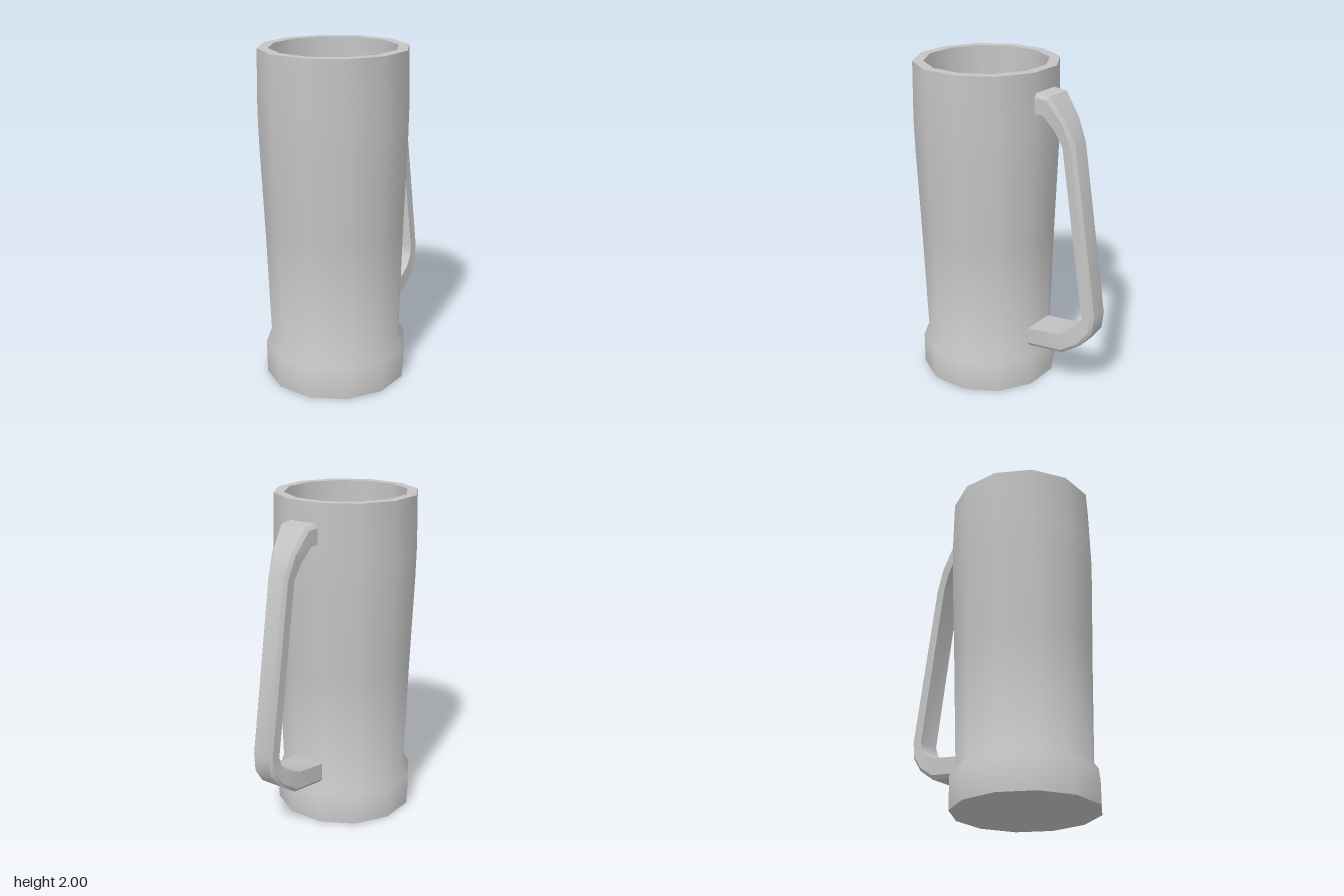
import * as THREE from 'three';
import { toCreasedNormals } from 'three/addons/utils/BufferGeometryUtils.js';

const CENTRE_X = -0.207;
const CORNER = 1 / Math.cos(Math.PI / 12); // flat-to-centre distance -> corner radius

// Twelve-sided cup: profile points are [distance to flat, height]
function cupGeometry() {
  const profile = [
    [0, 0], [0.416, 0], [0.416, 0.2], [0.383, 0.25], // base and chamfer
    [0.403, 0.95], [0.421, 1.45], [0.425, 1.65], [0.418, 2], // swelling wall
    [0.357, 2], [0.333, 0.25], [0, 0.25], // rim, inside wall, floor
  ].map(([r, y]) => new THREE.Vector2(r * CORNER, y));
  const geometry = new THREE.LatheGeometry(profile, 12, Math.PI / 12);
  return toCreasedNormals(geometry, 0.8);
}

// Handle: six-cornered cross-sections, flared where they meet the cup
function handleGeometry() {
  // outer x, y, bevel x, y, inner x, y, half width
  const stations = [
    [0.18, 1.885, 0.18, 1.862, 0.18, 1.765, 0.105],
    [0.30, 1.875, 0.29, 1.855, 0.27, 1.765, 0.102],
    [0.40, 1.745, 0.385, 1.735, 0.34, 1.68, 0.083],
    [0.46, 1.61, 0.44, 1.60, 0.385, 1.59, 0.07],
    [0.625, 0.58, 0.605, 0.575, 0.545, 0.565, 0.07],
    [0.61, 0.47, 0.593, 0.48, 0.53, 0.51, 0.075],
    [0.54, 0.375, 0.53, 0.392, 0.48, 0.46, 0.087],
    [0.425, 0.295, 0.42, 0.317, 0.395, 0.42, 0.1],
    [0.15, 0.257, 0.15, 0.28, 0.15, 0.382, 0.105],
  ];
  const positions = [];
  const index = [];
  stations.forEach(([ox, oy, bx, by, ix, iy, w], i) => {
    const o = w - 0.018;
    positions.push(ox, oy, o, bx, by, w, ix, iy, w, ix, iy, -w, bx, by, -w, ox, oy, -o);
    if (i === 0) return;
    for (let j = 0; j < 6; j++) {
      const k = (j + 1) % 6;
      const p = (i - 1) * 6, q = i * 6;
      index.push(p + j, p + k, q + k, p + j, q + k, q + j);
    }
  });
  const geometry = new THREE.BufferGeometry();
  geometry.setAttribute('position', new THREE.Float32BufferAttribute(positions, 3));
  geometry.setIndex(index);
  return toCreasedNormals(geometry, 0.6);
}

export function createModel() {
  const grey = new THREE.MeshStandardMaterial({ color: 0xc4c4c4 });
  grey.name = 'grey';

  const cup = new THREE.Mesh(cupGeometry(), grey);
  cup.name = 'cup';
  cup.position.x = CENTRE_X;

  const handle = new THREE.Mesh(handleGeometry(), grey);
  handle.name = 'handle';

  const model = new THREE.Group();
  model.name = 'mug';
  model.add(cup, handle);
  return model;
}
